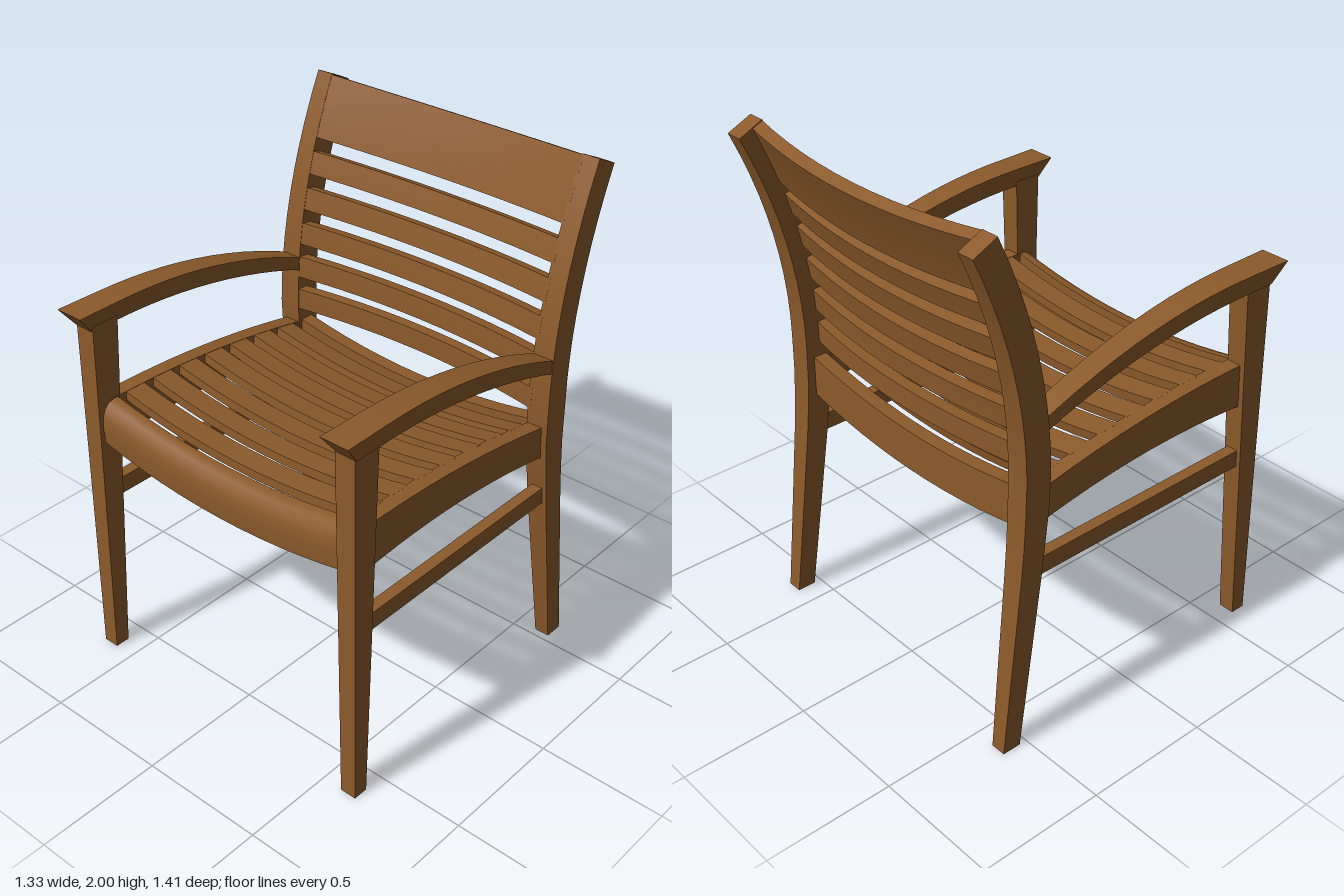
import * as THREE from 'three';
import { toCreasedNormals } from 'three/addons/utils/BufferGeometryUtils.js';

const wood = new THREE.MeshStandardMaterial({ color: 0x8b5a2b });
wood.name = 'brown wood';

// Joins a row of equal-sized rings of [x, y, z] points into a capped solid.
function loft(rings) {
  const n = rings[0].length, tris = [];
  for (let i = 0; i < rings.length - 1; i++) {
    for (let j = 0; j < n; j++) {
      const k = (j + 1) % n;
      const a = rings[i][j], b = rings[i][k], c = rings[i + 1][k], d = rings[i + 1][j];
      tris.push([a, b, c], [a, c, d]);
    }
  }
  const first = rings[0], last = rings[rings.length - 1];
  const outline = first.map((p) => new THREE.Vector3(...p));
  // flatten the end ring so that caps of any shape triangulate
  const normal = new THREE.Vector3();
  for (let j = 0; j < n; j++) normal.add(outline[j].clone().cross(outline[(j + 1) % n]));
  const turn = new THREE.Quaternion().setFromUnitVectors(normal.normalize(), new THREE.Vector3(0, 0, 1));
  const flat = outline.map((p) => { p.applyQuaternion(turn); return new THREE.Vector2(p.x, p.y); });
  for (const [a, b, c] of THREE.ShapeUtils.triangulateShape(flat, [])) {
    tris.push([first[a], first[c], first[b]], [last[a], last[b], last[c]]);
  }
  // turn the faces outwards
  let volume = 0;
  for (const [a, b, c] of tris) {
    volume += new THREE.Vector3(...a).dot(new THREE.Vector3(...b).cross(new THREE.Vector3(...c)));
  }
  if (volume < 0) tris.forEach((t) => t.reverse());
  const geometry = new THREE.BufferGeometry();
  geometry.setAttribute('position', new THREE.Float32BufferAttribute(tris.flat(2), 3));
  return toCreasedNormals(geometry, 0.6);
}

const range = (a, b, n) => Array.from({ length: n + 1 }, (_, i) => a + (b - a) * i / n);
const lerp = THREE.MathUtils.lerp;

const HALF = 0.57;                                   // half length of the cross pieces
const bulge = (x) => 1 - (x / HALF) ** 2;
const dip = (x) => 0.06 * bulge(x);                  // hollow of the seat
const seatTop = (z) => 1.12 - 0.1 * Math.max(0, (0.5 - z) / 0.94) ** 2;
const seatSlope = (z) => 0.2 * Math.max(0, 0.5 - z) / 0.94 ** 2;

// Front face of the upper back post, and the point set back from it by d
const K = 0.26;
function backPoint(y, d) {
  const s = 2 * K * (y - 1.1), len = Math.hypot(1, s);
  return [y - d * s / len, -0.4 - K * (y - 1.1) ** 2 - d / len];
}

// Cross piece whose [y, z] profile may change along x
const crossPiece = (profileAt) =>
  loft(range(-HALF, HALF, 12).map((x) => profileAt(x).map(([y, z]) => [x, y, z])));

// Cross piece of the seat: a fixed profile that sags in the middle
const seatPiece = (profile) => crossPiece((x) => profile.map(([y, z]) => [y - dip(x), z]));

// Slat of the back, bowed backwards between heights y0 and y1
const backPiece = (y0, y1) => crossPiece((x) => {
  const bow = 0.055 * bulge(x), ys = range(y0, y1, 4);
  return [
    ...ys.map((y) => backPoint(y, bow)),
    ...ys.reverse().map((y) => backPoint(y, bow + 0.045)),
  ];
});

export function createModel() {
  const chair = new THREE.Group();
  chair.name = 'armchair';
  const add = (name, geometry) => {
    const mesh = new THREE.Mesh(geometry, wood);
    mesh.name = name;
    chair.add(mesh);
    return mesh;
  };

  // four-sided ring at one height
  const post = (xi, xo, yf, zf, yb, zb) =>
    [[xi, yf, zf], [xo, yf, zf], [xo, yb, zb], [xi, yb, zb]];

  for (const [side, s] of [['left', 1], ['right', -1]]) {
    // Tapered front leg
    add(side + 'FrontLeg', loft([
      post(s * 0.585, s * 0.65, 0, 0.64, 0, 0.58),
      post(s * 0.557, s * 0.64, 1.44, 0.64, 1.44, 0.525),
    ]));

    // Back leg: straight splayed foot, then the curved post
    const lower = [[0, -0.53, -0.605, 0.585], [0.35, -0.482, -0.566, 0.573], [0.7, -0.434, -0.527, 0.562],
      [0.82, -0.42, -0.516, 0.559], [0.95, -0.405, -0.508, 0.557]];
    add(side + 'BackLeg', loft([
      ...lower.map(([y, zf, zb, xi]) => post(s * xi, s * 0.645, y, zf, y, zb)),
      ...range(1.1, 2, 10).map((y) => {
        const t = (y - 1.1) / 0.9;
        return post(s * lerp(0.556, 0.563, t), s * lerp(0.647, 0.632, t),
          ...backPoint(y, 0), ...backPoint(y, 0.105));
      }),
    ]));

    // Arched armrest with a slanted tip
    add(side + 'Armrest', loft(range(0.7, -0.43, 14).map((z, i) => {
      const t = (0.7 - z) / 1.13, drop = Math.max(0, (0.5 - z) / 0.9) ** 2;
      const top = 1.497 - 0.183 * drop, bottom = 1.42 - 0.16 * drop;
      const zb = i === 0 ? 0.64 : Math.min(z, 0.63);
      const xi = lerp(0.547, 0.56, t), xo = lerp(0.663, 0.64, t), inset = lerp(0.016, 0, t);
      return [[s * xi, top, z], [s * xo, top, z],
        [s * (xo - inset), bottom, zb], [s * (xi + inset), bottom, zb]];
    })));

    // Curved side rail of the seat
    add(side + 'SeatRail', loft(range(0.58, -0.45, 12).map((z) => {
      const bottom = 0.96 - 0.15 * (z - 0.24) ** 2;
      return [[s * 0.562, seatTop(z), z], [s * 0.622, seatTop(z), z],
        [s * 0.622, bottom, z], [s * 0.562, bottom, z]];
    })));

    // Straight stretcher between the legs
    add(side + 'Stretcher', new THREE.BoxGeometry(0.045, 0.07, 1.02))
      .position.set(s * 0.605, 0.72, 0.06);
  }

  // Front seat rail with a rounded upper edge
  add('frontSeatRail', seatPiece([
    [0.95, 0.55], [0.95, 0.618], [1.02, 0.625], [1.06, 0.622],
    [1.09, 0.612], [1.11, 0.594], [1.12, 0.57], [1.12, 0.55],
  ]));

  // Back seat rail
  add('backSeatRail', seatPiece([[0.875, -0.42], [1.035, -0.42], [1.035, -0.475], [0.875, -0.475]]));

  // Seat slats, tilted to follow the seat curve
  for (let i = 0; i < 7; i++) {
    const z = -0.33 + i * 0.1325, slope = seatSlope(z), y = seatTop(z);
    const corner = (dz, d) => [y + slope * dz - d, z + dz + slope * d];
    add('seatSlat' + (i + 1), seatPiece([
      corner(-0.044, 0), corner(0.044, 0), corner(0.044, 0.035), corner(-0.044, 0.035),
    ]));
  }

  // Wide top rail and five slats of the back
  add('topRail', backPiece(1.775, 1.997));
  for (let i = 0; i < 5; i++) {
    const y = 1.09 + i * 0.1375;
    add('backSlat' + (i + 1), backPiece(y, y + 0.085));
  }

  return chair;
}
